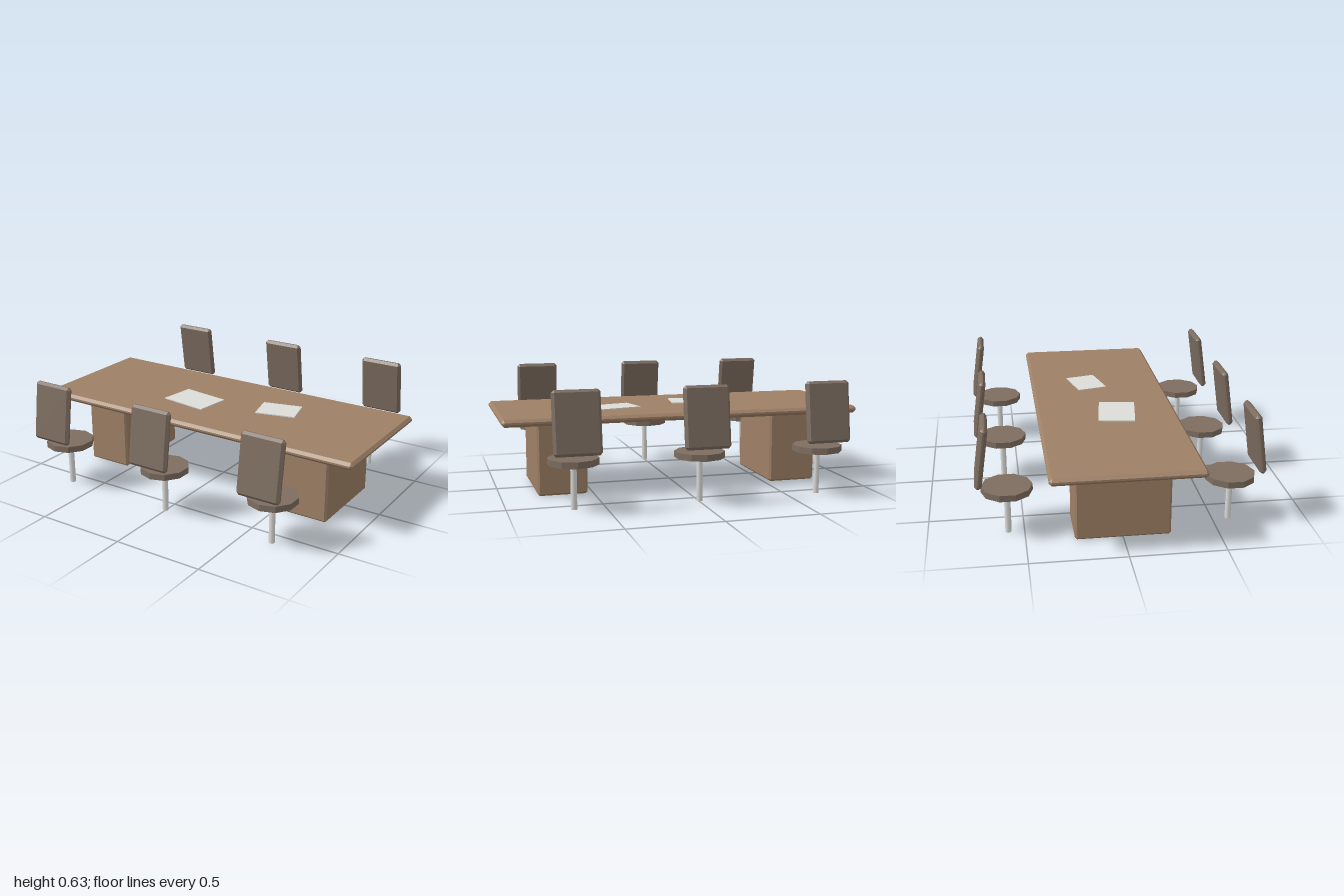
import * as THREE from 'three';
import { ConvexGeometry } from 'three/addons/geometries/ConvexGeometry.js';

const material = (name, color) => {
  const m = new THREE.MeshStandardMaterial({ color });
  m.name = name;
  return m;
};

// Box with every edge chamfered by b
function chamferBox(w, h, d, b) {
  const half = [w / 2, h / 2, d / 2];
  const points = [];
  for (let axis = 0; axis < 3; axis++)
    for (const sx of [-1, 1]) for (const sy of [-1, 1]) for (const sz of [-1, 1]) {
      const p = [sx, sy, sz].map((s, i) => s * (half[i] - (i === axis ? 0 : b)));
      points.push(new THREE.Vector3(...p));
    }
  return new ConvexGeometry(points);
}

function add(parent, name, geometry, mat, x, y, z) {
  const mesh = new THREE.Mesh(geometry, mat);
  mesh.name = name;
  mesh.position.set(x, y, z);
  parent.add(mesh);
  return mesh;
}

export function createModel() {
  const wood = material('wood', 0x9e8066);
  const upholstery = material('upholstery', 0x7d6d60);
  const pale = material('pale grey', 0xdcddd9);
  upholstery.flatShading = true;

  const model = new THREE.Group();
  model.name = 'conferenceTable';

  // Table top on two pedestals
  add(model, 'tableTop', chamferBox(2, 0.04, 0.78, 0.015), wood, 0, 0.425, 0);
  const pedestal = chamferBox(0.272, 0.397, 0.5, 0.011);
  add(model, 'rightPedestal', pedestal, wood, -0.667, 0.2, 0);
  add(model, 'leftPedestal', pedestal, wood, 0.667, 0.2, 0);

  // Papers lying on the table
  add(model, 'largePaper', new THREE.BoxGeometry(0.283, 0.007, 0.202), pale, -0.168, 0.447, 0.055).rotation.y = -0.14;
  add(model, 'smallPaper', new THREE.BoxGeometry(0.227, 0.007, 0.172), pale, 0.33, 0.447, -0.06).rotation.y = 0.24;

  // Three chairs along each long side
  const seat = new THREE.CylinderGeometry(0.133, 0.133, 0.034, 10);
  const post = new THREE.CylinderGeometry(0.0165, 0.0165, 0.235, 8);
  const back = chamferBox(0.244, 0.327, 0.037, 0.014);
  for (const side of [1, -1]) {
    for (const x of [-0.667, 0, 0.667]) {
      const chair = new THREE.Group();
      chair.name = side > 0 ? 'frontChair' : 'backChair';
      add(chair, 'seat', seat, upholstery, 0, 0.257, 0);
      add(chair, 'post', post, pale, 0, 0.1225, 0);
      add(chair, 'backrest', back, upholstery, 0, 0.468, 0.122).rotation.x = -0.14;
      chair.position.set(x, 0, side * 0.584);
      if (side < 0) chair.rotation.y = Math.PI;
      model.add(chair);
    }
  }
  return model;
}
